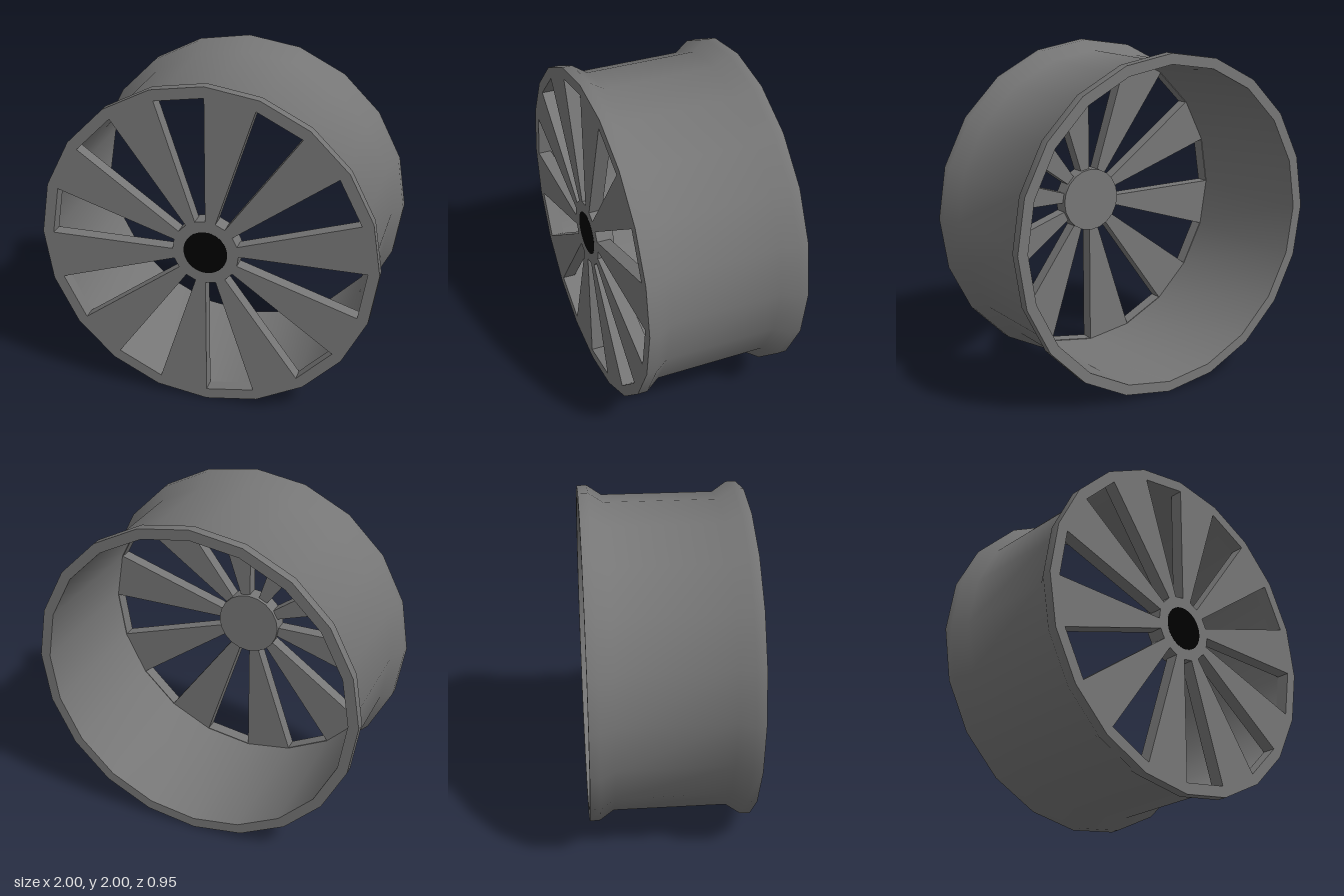
import * as THREE from 'three';
import { toCreasedNormals } from 'three/addons/utils/BufferGeometryUtils.js';

const SIDES = 20;
const STEP = (Math.PI * 2) / SIDES;
const HALF = 0.473; // half the wheel width
const INNER = 0.938; // inside radius of the rim
const WINDOW = 0.934; // outer radius of the windows
const HUB = 0.196;
const PLATE = 0.08; // thickness of the spoked face

const grey = new THREE.MeshStandardMaterial({ color: 0x767676 });
const black = new THREE.MeshStandardMaterial({ color: 0x000000 });

function part(name, geometry, material = grey) {
  const mesh = new THREE.Mesh(geometry, material);
  mesh.name = name;
  return mesh;
}

// Cylinder along z between two depths
function zCylinder(radius, z0, z1, sides) {
  return new THREE.CylinderGeometry(radius, radius, z1 - z0, sides)
    .rotateX(Math.PI / 2)
    .translate(0, 0, (z0 + z1) / 2);
}

// Barrel with a flared flange at each edge, straight inside
function rimGeometry() {
  const profile = [
    [INNER, -HALF], [1, -HALF], [1, -0.415], [0.943, -0.33],
    [0.943, 0.33], [1, 0.415], [1, HALF], [INNER, HALF], [INNER, -HALF],
  ].map(([r, y]) => new THREE.Vector2(r, y));
  const lathe = new THREE.LatheGeometry(profile, SIDES).rotateX(Math.PI / 2);
  return toCreasedNormals(lathe, THREE.MathUtils.degToRad(40));
}

// Plate with a wedge window cut in every other facet, leaving the spokes
function spokedFaceGeometry() {
  const at = (r, i) => new THREE.Vector2(r * Math.cos(i * STEP), r * Math.sin(i * STEP));
  const face = new THREE.Shape(Array.from({ length: SIDES }, (_, i) => at(INNER, i)));
  for (let i = 1; i < SIDES; i += 2) {
    face.holes.push(new THREE.Path([at(HUB, i), at(HUB, i + 1), at(WINDOW, i + 1), at(WINDOW, i)]));
  }
  return new THREE.ExtrudeGeometry(face, { depth: PLATE, bevelEnabled: false })
    .translate(0, 0, HALF - PLATE);
}

export function createModel() {
  const wheel = new THREE.Group();
  wheel.name = 'wheel';
  wheel.position.y = 1;

  wheel.add(part('rim', rimGeometry()));
  wheel.add(part('spokedFace', spokedFaceGeometry()));

  // Hub reaches a little behind the spokes; dark cap sits flush in front
  wheel.add(part('hub', zCylinder(HUB, 0.37, HALF - PLATE, SIDES)));
  wheel.add(part('hubCap', zCylinder(0.13, 0.4, HALF + 0.001, 40), black));

  const model = new THREE.Group();
  model.add(wheel);
  return model;
}
